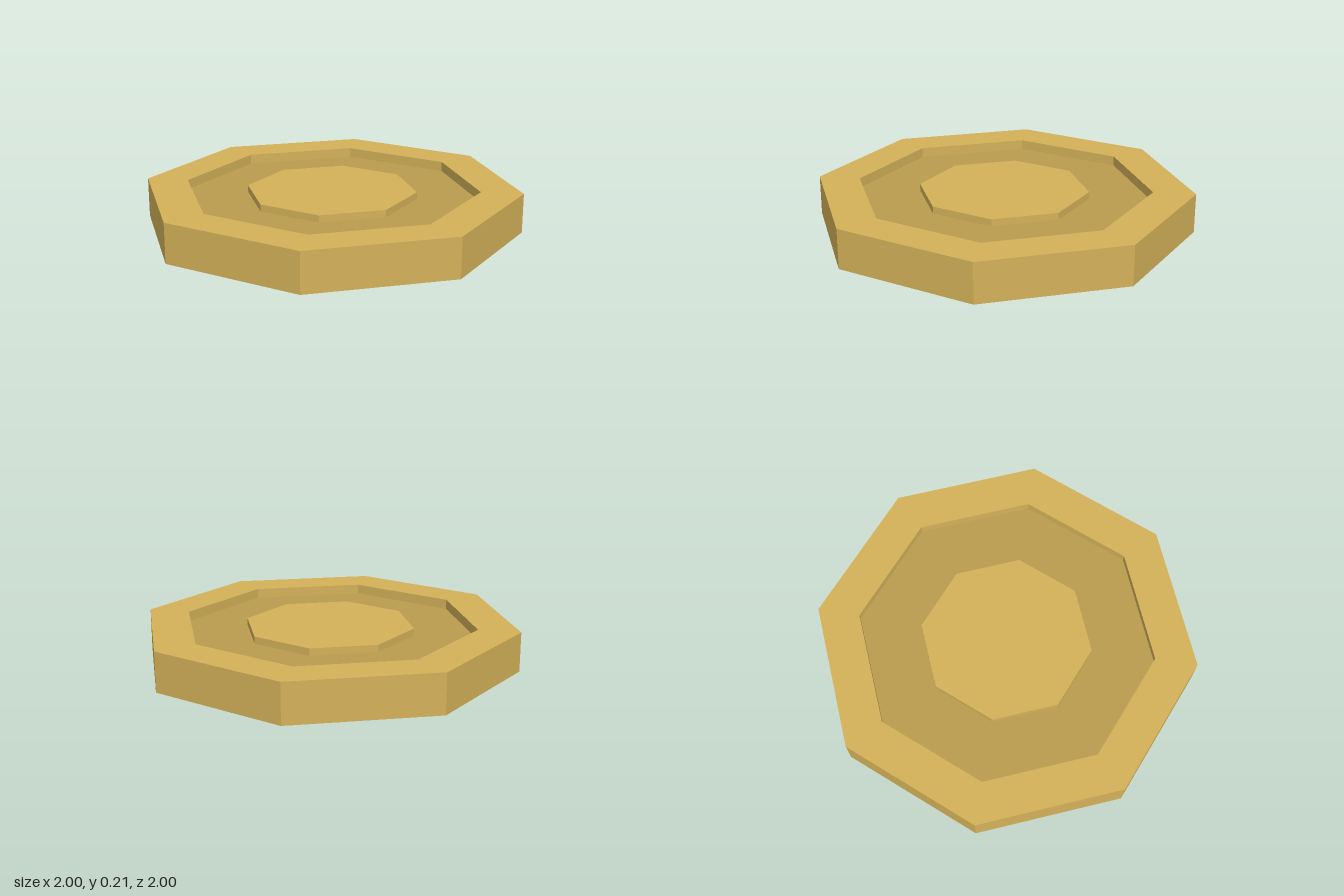
import * as THREE from 'three';

const SIDES = 8;
const HEIGHT = 0.21;

export function createModel() {
  const group = new THREE.Group();
  const gold = new THREE.MeshStandardMaterial({ color: 0xd4b259, flatShading: true });
  const darkGold = new THREE.MeshStandardMaterial({ color: 0xba9c4f, flatShading: true });

  const add = (name, geometry, material) => {
    const mesh = new THREE.Mesh(geometry, material);
    mesh.name = name;
    group.add(mesh);
    return mesh;
  };

  // Octagonal slab centred on the coin's mid-height
  const slab = (name, radius, height, material) => {
    add(name, new THREE.CylinderGeometry(radius, radius, height, SIDES), material).position.y = HEIGHT / 2;
  };

  // Raised rim: rectangular section swept round the octagon
  const section = [[0.78, 0], [1, 0], [1, HEIGHT], [0.78, HEIGHT], [0.78, 0]];
  add('rim', new THREE.LatheGeometry(section.map(([x, y]) => new THREE.Vector2(x, y)), SIDES), gold);

  // Recessed panel, and the boss standing out of it on both faces
  slab('recessedPanel', 0.78, 0.105, darkGold);
  slab('centreBoss', 0.45, 0.18, gold);

  return group;
}
